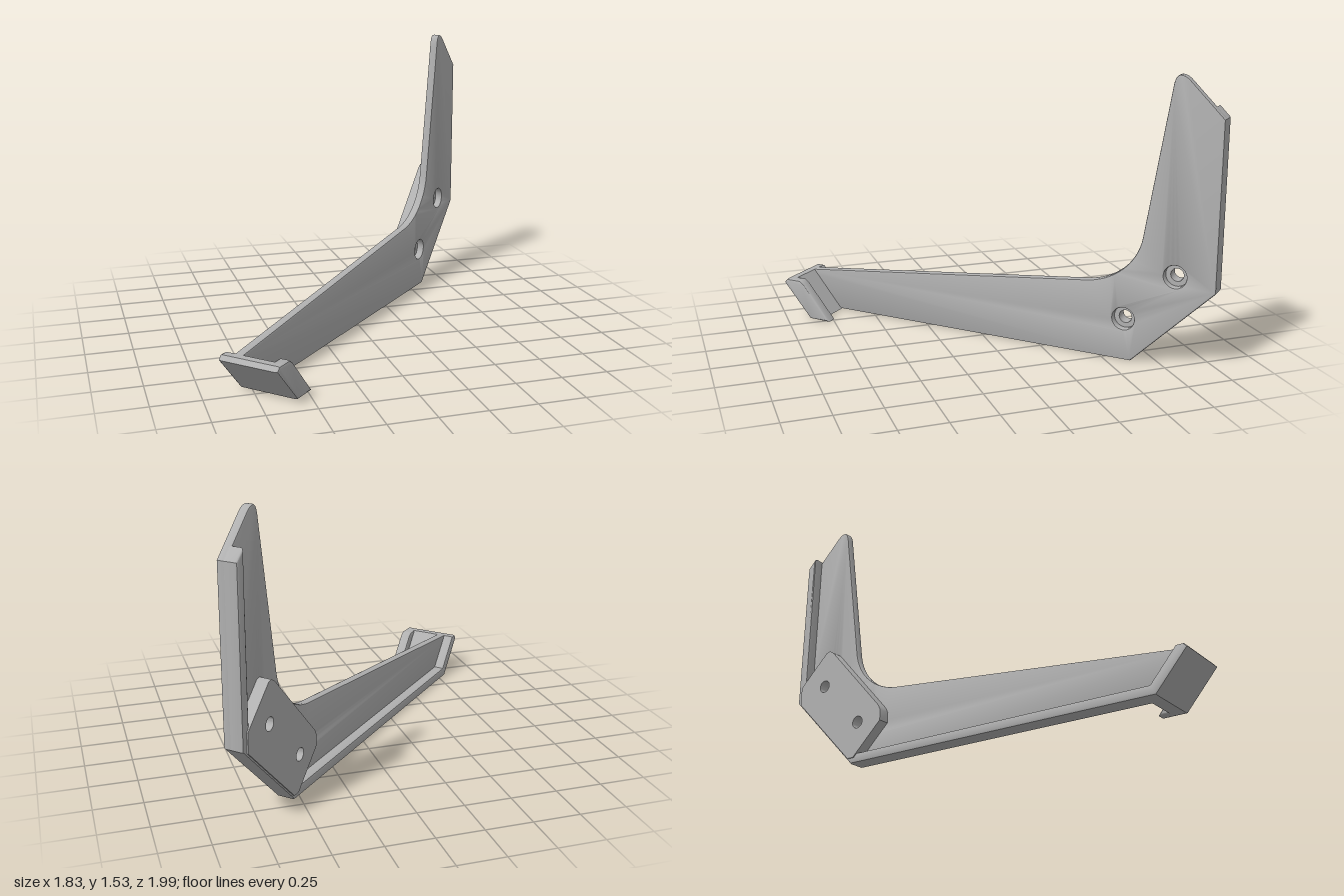
import * as THREE from 'three';
import { toCreasedNormals } from 'three/addons/utils/BufferGeometryUtils.js';

const HOLES = [[1.09, 0.5], [0.82, 0.23]];

// Closed shape from corner points
function polygon(points) {
  return new THREE.Shape(points.map(([x, y]) => new THREE.Vector2(x, y)));
}

function drill(shape, radius) {
  for (const [x, y] of HOLES) {
    shape.holes.push(new THREE.Path().absarc(x, y, radius, 0, Math.PI * 2, true));
  }
  return shape;
}

export function createModel() {
  const model = new THREE.Group();
  model.name = 'bracket';
  const grey = new THREE.MeshStandardMaterial({ color: 0xb0b0b0 });
  grey.name = 'grey';

  // The bracket is laid out flat in x-y, then turned diagonally
  const body = new THREE.Group();
  body.name = 'bracketBody';
  body.rotation.y = Math.PI / 4;
  model.add(body);

  // Slab between two depths, with softened edges that keep the outline size
  function slab(name, shape, back, front, bevel) {
    const geometry = new THREE.ExtrudeGeometry(shape, {
      depth: front - back - 2 * bevel,
      bevelEnabled: bevel > 0,
      bevelThickness: bevel,
      bevelSize: bevel,
      bevelOffset: -bevel,
      bevelSegments: 2,
      curveSegments: 16,
    });
    geometry.translate(0, 0, back + bevel);
    const mesh = new THREE.Mesh(toCreasedNormals(geometry, 0.6), grey);
    mesh.name = name;
    body.add(mesh);
  }

  // Main L-shaped panel
  const panel = new THREE.Shape();
  panel.moveTo(-1.02, 0);
  panel.lineTo(0.865, 0);
  panel.lineTo(1.305, 0.44);
  panel.lineTo(1.305, 1.33);
  panel.lineTo(1.125, 1.51);
  panel.quadraticCurveTo(1.1, 1.535, 1.075, 1.535);
  panel.quadraticCurveTo(1.043, 1.535, 1.035, 1.46);
  panel.lineTo(0.91, 0.68);
  panel.bezierCurveTo(0.885, 0.54, 0.76, 0.43, 0.6, 0.415);
  panel.lineTo(-1.13, 0.225);
  panel.lineTo(-1.175, 0.222);
  panel.lineTo(-1.195, 0.2);
  slab('panel', drill(panel, 0.06), -0.057, -0.007, 0.01);

  // Raised rim along the outer edges of the back
  slab('backRim', polygon([
    [-1.02, 0], [0.865, 0], [1.305, 0.44], [1.305, 1.33], [1.25, 1.385],
    [1.25, 0.465], [0.84, 0.055], [-0.99, 0.055], [-1.135, 0.222],
    [-1.175, 0.222], [-1.195, 0.2],
  ]), -0.115, -0.03, 0.012);

  // Mounting pad around the screw holes
  slab('mountingPad', drill(polygon([
    [0.84, 0.03], [0.88, 0.03], [1.275, 0.425], [1.275, 0.53], [1.09, 0.71],
    [1.065, 0.715], [1.04, 0.7], [0.67, 0.3], [0.655, 0.27], [0.655, 0.21],
  ]), 0.035), -0.122, -0.05, 0);

  // Hook: slanted end plate and front lip
  slab('hookEnd', polygon([
    [-1.02, 0], [-0.95, 0], [-1.135, 0.222], [-1.175, 0.222], [-1.195, 0.2],
  ]), -0.055, 0.205, 0);
  slab('hookLip', polygon([
    [-1.02, 0], [-0.89, 0], [-1.06, 0.205], [-1.085, 0.222], [-1.175, 0.222], [-1.195, 0.2],
  ]), 0.155, 0.218, 0.012);

  return model;
}
